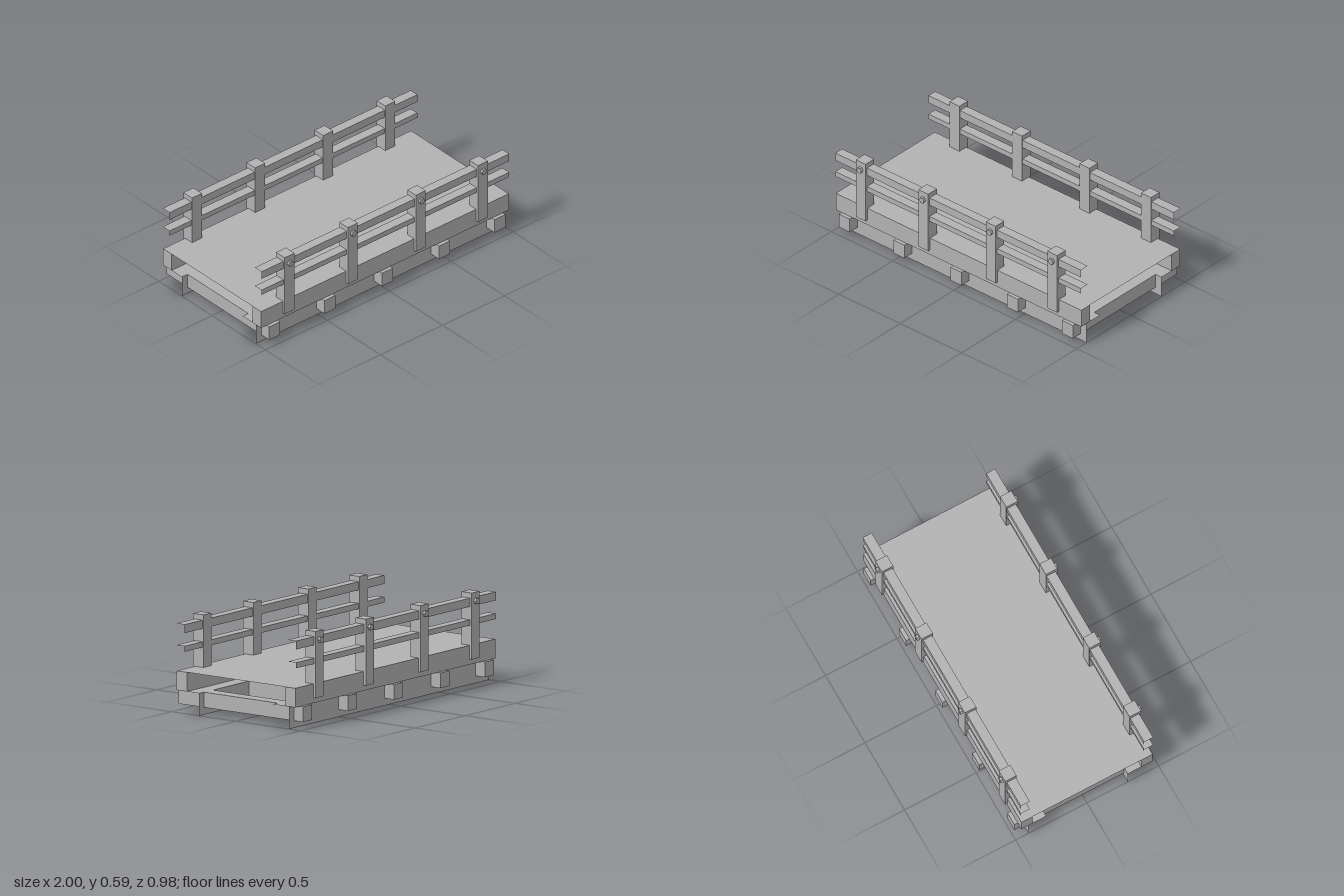
import * as THREE from 'three';

export function createModel() {
  const model = new THREE.Group();
  model.name = 'footbridge';
  const grey = new THREE.MeshStandardMaterial({ color: 0xb2b2b2 });
  grey.name = 'plain grey';

  // Box given by its limits on each axis; openEnds leaves out the two x faces
  function addBox(name, [x0, x1], [y0, y1], [z0, z1], openEnds = false) {
    const geometry = new THREE.BoxGeometry(x1 - x0, y1 - y0, z1 - z0);
    if (openEnds) {
      geometry.setIndex(Array.from(geometry.index.array).slice(12));
      geometry.clearGroups();
    }
    const mesh = new THREE.Mesh(geometry, grey);
    mesh.name = name;
    mesh.position.set((x0 + x1) / 2, (y0 + y1) / 2, (z0 + z1) / 2);
    model.add(mesh);
  }

  const span = [-1, 1];

  // Thin deck, flush with the kerbs
  addBox('deck', span, [0.245, 0.26], [-0.38, 0.38], true);

  // Cross beams under the deck
  for (const x of [-0.91, -0.465, 0, 0.46, 0.908]) {
    addBox('crossBeam', [x - 0.044, x + 0.044], [0.045, 0.14], [-0.483, 0.483]);
  }

  // Girders, kerbs, rails and posts on both sides
  for (const side of [1, -1]) {
    const zRange = (inner, outer) => (side > 0 ? [inner, outer] : [-outer, -inner]);
    addBox('girder', span, [0, 0.14], zRange(0.285, 0.41), true);
    addBox('kerb', span, [0.14, 0.26], zRange(0.38, 0.459));
    addBox('lowerRail', span, [0.385, 0.42], zRange(0.4, 0.463), true);
    addBox('upperRail', span, [0.502, 0.555], zRange(0.4, 0.463), true);

    for (const x of [-0.783, -0.273, 0.276, 0.777]) {
      addBox('post', [x - 0.04, x + 0.04], [0.173, 0.588], zRange(0.395, 0.475));

      // Hexagonal bolt head, corners pointing sideways
      const geometry = new THREE.CylinderGeometry(0.02, 0.02, 0.022, 6);
      geometry.rotateY(Math.PI / 6).rotateX(Math.PI / 2);
      const bolt = new THREE.Mesh(geometry.toNonIndexed(), grey);
      bolt.geometry.computeVertexNormals();
      bolt.name = 'boltHead';
      bolt.position.set(x, 0.533, side * 0.481);
      model.add(bolt);
    }
  }
  return model;
}
